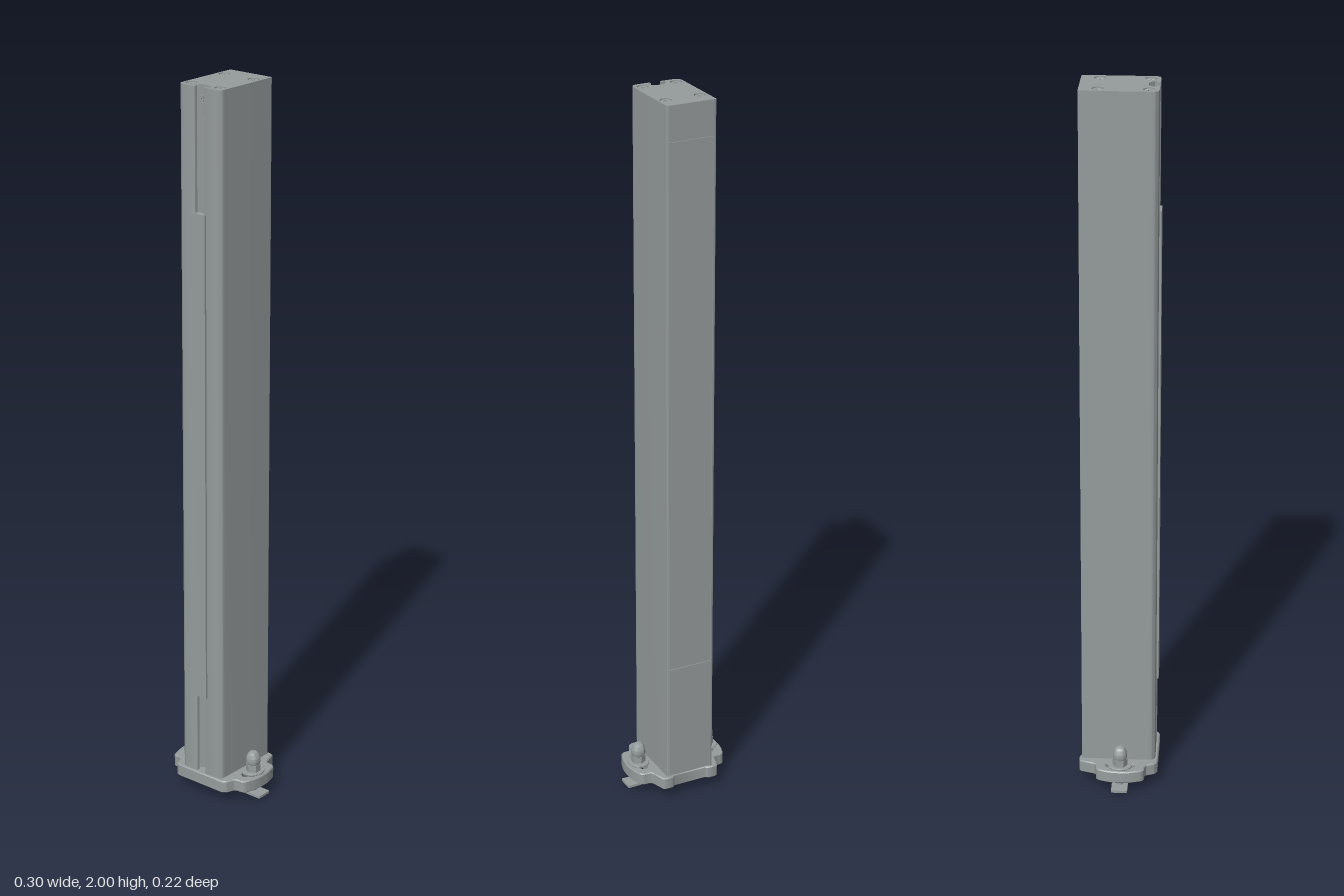
import * as THREE from 'three';
import { toCreasedNormals } from 'three/addons/utils/BufferGeometryUtils.js';

const metal = new THREE.MeshStandardMaterial({ color: 0x969c9d });

function add(parent, name, geometry, x = 0, y = 0, z = 0) {
  const mesh = new THREE.Mesh(geometry, metal);
  mesh.name = name;
  mesh.position.set(x, y, z);
  parent.add(mesh);
  return mesh;
}

// Closed outline from [x, z, cornerRadius] points seen from above
function outline(points) {
  const shape = new THREE.Shape();
  const v = points.map(([x, z]) => new THREE.Vector2(x, -z));
  const n = v.length;
  for (let i = 0; i < n; i++) {
    const p = v[i], r = points[i][2] || 0;
    const toward = (q) => p.clone().add(q.clone().sub(p).setLength(r));
    const a = r ? toward(v[(i + n - 1) % n]) : p;
    if (i === 0) shape.moveTo(a.x, a.y);
    else shape.lineTo(a.x, a.y);
    if (r) {
      const b = toward(v[(i + 1) % n]);
      shape.quadraticCurveTo(p.x, p.y, b.x, b.y);
    }
  }
  shape.closePath();
  return shape;
}

// Mirrors a half outline (x > 0, listed front to back) across x = 0
const mirrored = (half) => [...half, ...half.map(([x, z, r]) => [-x, z, r]).reverse()];

function ovalHole(x, z, rx, rz = rx) {
  return new THREE.Path().absellipse(x, -z, rx, rz, 0, Math.PI * 2, true);
}

// Extrudes a plan outline upwards from y0 to y1, with an optional crisp chamfer
function prism(shape, y0, y1, bevel = 0) {
  const geo = new THREE.ExtrudeGeometry(shape, {
    depth: y1 - y0 - 2 * bevel, curveSegments: 10, bevelEnabled: bevel > 0,
    bevelThickness: bevel, bevelSize: bevel, bevelOffset: -bevel, bevelSegments: 1,
  });
  geo.rotateX(-Math.PI / 2).translate(0, y0 + bevel, 0);
  return toCreasedNormals(geo, 0.6);
}

function lathe(points) {
  const geo = new THREE.LatheGeometry(points.map(([r, y]) => new THREE.Vector2(r, y)), 28);
  return toCreasedNormals(geo, 0.6);
}

// Screw head with a sunken cross, facing +y
function makeScrew(radius) {
  const screw = new THREE.Group();
  screw.name = 'screw';
  const head = new THREE.Shape().absarc(0, 0, radius, 0, Math.PI * 2);
  const a = radius * 0.14, b = radius * 0.6;
  const cross = [[a, b], [a, a], [b, a], [b, -a], [a, -a], [a, -b],
    [-a, -b], [-a, -a], [-b, -a], [-b, a], [-a, a], [-a, b]];
  head.holes.push(new THREE.Path(cross.map(([x, y]) => new THREE.Vector2(x, y))));
  add(screw, 'screwHead', prism(head, 0, 0.005, 0.0008));
  add(screw, 'screwCore', new THREE.CylinderGeometry(radius * 0.9, radius * 0.9, 0.002, 24));
  return screw;
}

// Column section with a T-slot in the front face
const columnPoints = [
  [0.012, 0.072], [0.025, 0.085], [0.025, 0.092], [0.015, 0.092],
  [0.015, 0.101, 0.001], [0.07, 0.101, 0.018], [0.07, -0.099],
];
const screwSpots = [[-0.048, -0.055], [0.048, -0.055], [-0.048, 0.075], [0.048, 0.075]];

function makeColumn() {
  const column = new THREE.Group();
  column.name = 'column';
  add(column, 'columnBody', prism(outline(mirrored(columnPoints)), 0.06, 1.993));

  // End plate with sunken screws
  const top = outline(mirrored(columnPoints));
  screwSpots.forEach(([x, z]) => top.holes.push(ovalHole(x, z, 0.0155)));
  add(column, 'endPlate', prism(top, 1.993, 2));
  for (const [x, z] of screwSpots) {
    const screw = makeScrew(0.0135);
    screw.position.set(x, 1.993, z);
    column.add(screw);
  }

  // Back: side lips, a flush end cover, and lower covers set in between the lips
  for (const s of [-1, 1]) {
    add(column, 'backLip', prism(outline([
      [s * 0.07, -0.098], [s * 0.07, -0.104, 0.003], [s * 0.064, -0.104], [s * 0.064, -0.098],
    ]), 0.06, 2));
  }
  add(column, 'backEndCover', new THREE.BoxGeometry(0.128, 0.093, 0.006), 0, 1.9535, -0.101);
  for (const [y0, y1] of [[0.06, 0.4], [1.58, 1.903]]) {
    add(column, 'backCover', new THREE.BoxGeometry(0.128, y1 - y0, 0.004), 0, (y0 + y1) / 2, -0.0995);
  }

  // Cover strip over the slot, with a key that sits in its mouth
  add(column, 'slotCover', new THREE.BoxGeometry(0.044, 1.37, 0.007), 0, 0.985, 0.1035);
  add(column, 'slotCoverKey', new THREE.BoxGeometry(0.029, 1.37, 0.012), 0, 0.985, 0.096);

  // Small screw near the top of the slot
  const slotScrew = makeScrew(0.012);
  slotScrew.rotation.x = Math.PI / 2;
  slotScrew.position.set(0, 1.965, 0.08);
  column.add(slotScrew);
  add(column, 'slotScrewShank', new THREE.BoxGeometry(0.01, 0.01, 0.01), 0, 1.965, 0.075);
  return column;
}

function makeBasePlate() {
  const shape = outline(mirrored([
    [0.088, 0.108, 0.016], [0.1, 0.073, 0.01], [0.128, 0.073, 0.012],
    [0.142, 0.03, 0.02], [0.142, -0.022, 0.02], [0.128, -0.062, 0.012],
    [0.099, -0.062, 0.01], [0.084, -0.111, 0.009], [0.054, -0.111, 0.005], [0.049, -0.104, 0.003],
  ]));
  // Long slots for the clamp bolts
  for (const s of [-1, 1]) shape.holes.push(ovalHole(s * 0.104, 0.005, 0.018, 0.041));
  return prism(shape, 0.03, 0.066, 0.003);
}

// Bolt with a flat foot, oval washer and domed nut
function makeClamp() {
  const clamp = new THREE.Group();
  clamp.name = 'clamp';
  add(clamp, 'clampFoot', prism(outline([
    [-0.037, -0.022, 0.004], [0.041, -0.022, 0.004], [0.041, 0.023, 0.004], [-0.037, 0.023, 0.004],
  ]), 0.003, 0.01));
  add(clamp, 'footBoss', new THREE.CylinderGeometry(0.014, 0.014, 0.01, 24), 0, 0.005, 0);
  add(clamp, 'boltShaft', new THREE.CylinderGeometry(0.009, 0.009, 0.07, 20), 0, 0.04, 0);
  const washer = new THREE.Shape().absellipse(0, 0, 0.03, 0.034, 0, Math.PI * 2);
  washer.holes.push(ovalHole(0, 0, 0.01));
  add(clamp, 'washer', prism(washer, 0.066, 0.071, 0.001));
  add(clamp, 'hexNut', toCreasedNormals(new THREE.CylinderGeometry(0.021, 0.021, 0.02, 6), 0.6), 0, 0.081, 0);
  const dome = [[0, 0.089], [0.017, 0.089], [0.02, 0.097], [0.02, 0.104]];
  for (let i = 1; i <= 10; i++) {
    const t = (i / 10) * Math.PI / 2;
    dome.push([i === 10 ? 0 : 0.02 * Math.cos(t), 0.104 + 0.026 * Math.sin(t)]);
  }
  add(clamp, 'domeCap', lathe(dome));
  return clamp;
}

export function createModel() {
  const model = new THREE.Group();
  model.name = 'column stand';
  model.add(makeColumn());
  add(model, 'basePlate', makeBasePlate());

  for (const s of [-1, 1]) {
    const clamp = makeClamp();
    clamp.position.set(s * 0.107, 0, 0.005);
    clamp.rotation.y = s < 0 ? Math.PI : 0;
    model.add(clamp);
  }

  // Underside fixing: central peg and four screws
  add(model, 'centrePeg', lathe([[0, 0.015], [0.01, 0.015], [0.013, 0.018], [0.013, 0.031]]), 0, 0, 0.01);
  for (const [x, z] of screwSpots) {
    const screw = makeScrew(0.0135);
    screw.rotation.x = Math.PI;
    screw.position.set(x, 0.031, z);
    model.add(screw);
  }
  return model;
}
